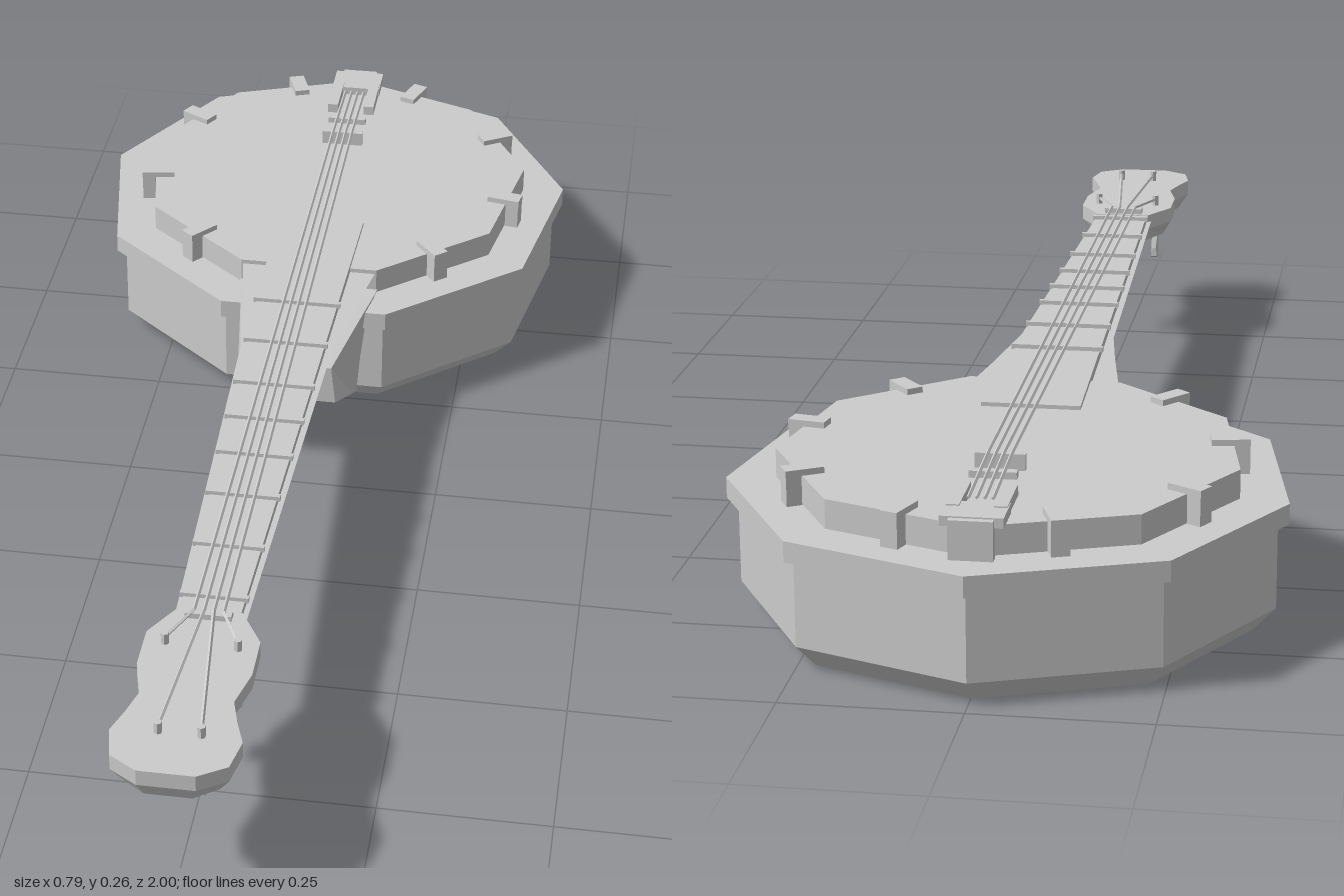
import * as THREE from 'three';

const mat = new THREE.MeshStandardMaterial({ color: 0xcccccc, flatShading: true, roughness: 0.8 });
const CZ = -0.6; // centre of the drum

// Loft of four-cornered sections along z: [z, half top width, half bottom width, top y, bottom y]
function loft(sections) {
  const pos = [], idx = [], n = sections.length;
  for (const [z, t, b, yT, yB] of sections) pos.push(-b, yB, z, b, yB, z, t, yT, z, -t, yT, z);
  for (let i = 0; i < n - 1; i++) {
    for (let j = 0; j < 4; j++) {
      const a = i * 4 + j, b = i * 4 + (j + 1) % 4;
      idx.push(a, b, b + 4, a, b + 4, a + 4);
    }
  }
  const e = (n - 1) * 4;
  idx.push(0, 2, 1, 0, 3, 2, e, e + 1, e + 2, e, e + 2, e + 3);
  const g = new THREE.BufferGeometry();
  g.setAttribute('position', new THREE.Float32BufferAttribute(pos, 3));
  g.setIndex(idx);
  const flat = g.toNonIndexed();
  flat.computeVertexNormals();
  return flat;
}

// Nine-sided drum layer with one corner pointing to the back
function nonagon(rTop, rBottom, y0, y1) {
  const g = new THREE.CylinderGeometry(rTop, rBottom, y1 - y0, 9, 1, false, Math.PI);
  return g.translate(0, (y0 + y1) / 2, CZ);
}

function rod(a, b, r, sides = 4) {
  const d = new THREE.Vector3().subVectors(b, a);
  const g = new THREE.CylinderGeometry(r, r, d.length(), sides);
  g.applyQuaternion(new THREE.Quaternion().setFromUnitVectors(new THREE.Vector3(0, 1, 0), d.normalize()));
  return g.translate((a.x + b.x) / 2, (a.y + b.y) / 2, (a.z + b.z) / 2);
}

export function createModel() {
  const root = new THREE.Group();
  root.name = 'banjo';
  const add = (name, geometry, parent = root) => {
    const m = new THREE.Mesh(geometry, mat);
    m.name = name;
    parent.add(m);
    return m;
  };
  const group = (name) => {
    const g = new THREE.Group();
    g.name = name;
    root.add(g);
    return g;
  };
  const box = (name, w, h, d, x, y, z, parent) =>
    add(name, new THREE.BoxGeometry(w, h, d).translate(x, y, z), parent);

  // Drum body
  add('bodyBottom', nonagon(0.384, 0.352, 0, 0.035));
  add('bodySide', nonagon(0.384, 0.384, 0.035, 0.165));
  add('rim', nonagon(0.4, 0.4, 0.16, 0.19));
  add('drumHead', nonagon(0.33, 0.33, 0.185, 0.232));

  // Tension hooks in the middle of each hoop side, none under the neck
  const hooks = group('tensionHooks');
  for (let i = 0; i < 4; i++) {
    for (const s of [-1, 1]) {
      const a = s * (20 + 40 * i) * Math.PI / 180;
      const hook = new THREE.Group();
      hook.name = 'hook';
      hook.position.set(Math.sin(a) * 0.31, 0, CZ - Math.cos(a) * 0.31);
      hook.rotation.y = -a;
      box('hookPost', 0.026, 0.052, 0.022, 0, 0.213, -0.012, hook);
      box('hookTop', 0.026, 0.01, 0.055, 0, 0.236, 0.004, hook);
      hooks.add(hook);
    }
  }

  // Neck, heel and fretboard
  add('heel', loft([
    [-0.33, 0.12, 0.09, 0.195, 0.004],
    [-0.27, 0.112, 0.09, 0.195, 0.006],
    [-0.2, 0.1, 0.088, 0.197, 0.045],
    [-0.04, 0.073, 0.08, 0.2, 0.135],
  ]));
  add('neck', loft([
    [-0.29, 0.11, 0.09, 0.225, 0.195],
    [-0.2, 0.095, 0.075, 0.226, 0.196],
    [-0.05, 0.073, 0.055, 0.228, 0.2],
    [0.68, 0.05, 0.036, 0.235, 0.212],
  ]));
  const halfWidth = (z) => 0.073 - 0.03 * (z + 0.43) / 1.09;
  add('fretboard', loft([
    [-0.43, 0.073, 0.073, 0.238, 0.22],
    [0.66, 0.043, 0.043, 0.246, 0.225],
  ]));
  const frets = group('frets');
  for (const z of [0.62, 0.5, 0.375, 0.27, 0.175, 0.08, -0.04, -0.16]) {
    box('fret', halfWidth(z) * 2 + 0.01, 0.008, 0.008, 0, 0.2405 + (z + 0.43) * 0.007, z, frets);
  }
  box('nut', 0.066, 0.022, 0.016, 0, 0.245, 0.665);

  // Headstock: outlined plate whose lower edge is chamfered inwards
  const half = [[0.045, 0.65], [0.08, 0.71], [0.08, 0.78], [0.065, 0.84], [0.076, 0.88],
    [0.09, 0.92], [0.08, 0.97], [0.04, 0.995]];
  const outline = [...half, ...half.map(([x, z]) => [-x, z]).reverse()];
  const shape = new THREE.Shape(outline.map(([x, z]) => new THREE.Vector2(x, -z)));
  const head = new THREE.ExtrudeGeometry(shape, { depth: 0.05, steps: 2, bevelEnabled: false });
  head.rotateX(-Math.PI / 2).translate(0, 0.197, 0);
  const p = head.attributes.position;
  for (let i = 0; i < p.count; i++) {
    if (p.getY(i) < 0.2) {
      p.setX(i, p.getX(i) * 0.82);
      p.setZ(i, 0.82 + (p.getZ(i) - 0.82) * 0.93);
    }
  }
  head.computeVertexNormals();
  add('headstock', head);

  // Tuning pegs and strings
  const pegs = group('tuningPegs');
  const strings = group('strings');
  const pegSpots = [[-0.05, 0.73], [-0.025, 0.915], [0.034, 0.915], [0.052, 0.73]];
  pegSpots.forEach(([x, z], i) => {
    add('pegPost', new THREE.CylinderGeometry(0.006, 0.006, 0.075, 6).translate(x, 0.227, z), pegs);
    add('pegKnob', loft([
      [-0.015, 0.003, 0.005, 0.17, 0.155],
      [-0.007, 0.005, 0.006, 0.195, 0.151],
      [0.007, 0.005, 0.006, 0.195, 0.151],
      [0.015, 0.003, 0.005, 0.17, 0.155],
    ]).translate(x, 0, z), pegs);
    const k = i - 1.5;
    const nut = new THREE.Vector3(k * 0.014, 0.257, 0.665);
    const bridge = new THREE.Vector3(k * 0.011, 0.257, -0.7);
    const tail = new THREE.Vector3(k * 0.011, 0.247, -0.86);
    add('stringMain', rod(nut, bridge, 0.0028), strings);
    add('stringTail', rod(bridge, tail, 0.0028), strings);
    add('stringHead', rod(nut, new THREE.Vector3(x, 0.257, z), 0.0028), strings);
  });

  // Bridge
  box('bridge', 0.07, 0.025, 0.01, 0, 0.243, -0.7);

  // Tailpiece: plate hooked over the hoop with two arms reaching forward
  const tail = group('tailpiece');
  box('tailPlate', 0.085, 0.014, 0.06, 0, 0.24, -0.905, tail);
  box('tailHook', 0.06, 0.058, 0.016, 0, 0.216, -0.937, tail);
  box('tailBar', 0.066, 0.01, 0.014, 0, 0.246, -0.76, tail);
  for (const s of [-1, 1]) {
    box('tailArm', 0.018, 0.016, 0.09, s * 0.032, 0.241, -0.85, tail);
  }
  return root;
}
